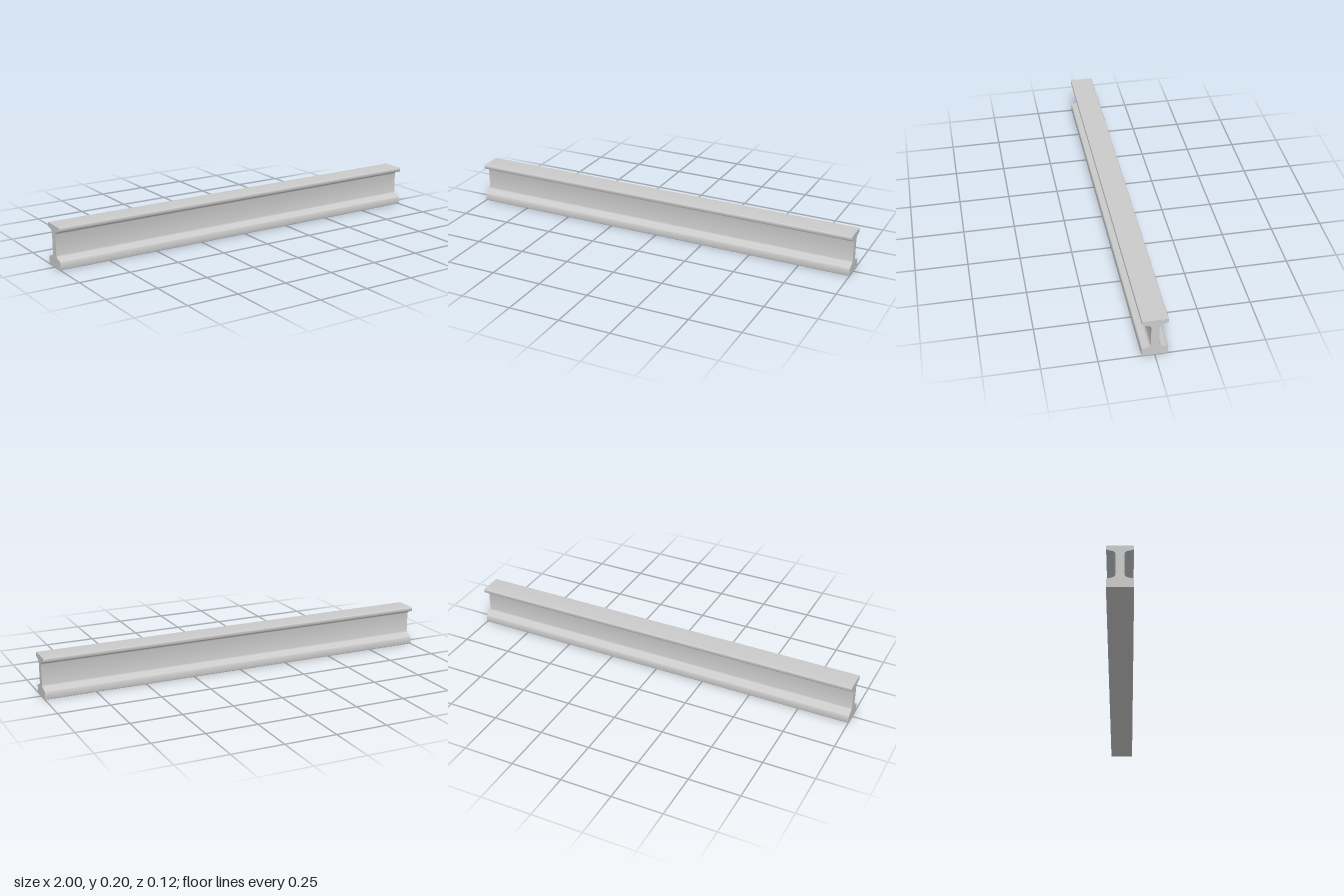
import * as THREE from 'three';
import { toCreasedNormals } from 'three/addons/utils/BufferGeometryUtils.js';

const LENGTH = 2;

// Half of the rail section, bottom to top: [half width, height, corner radius]
const CORNERS = [
  [0.059, 0.0, 0.005],   // foot bottom edge
  [0.059, 0.040, 0.006], // foot top edge
  [0.018, 0.050, 0.016], // fillet from foot to web
  [0.018, 0.170, 0.016], // fillet from web to head
  [0.059, 0.180, 0.006], // head lower edge
  [0.059, 0.2, 0.005],   // head top edge
];

// Closed outline with every corner rounded by a short curve
function roundedSection(corners) {
  const mirrored = corners.map(([x, y, r]) => [-x, y, r]).reverse();
  const all = [...corners, ...mirrored];
  const shape = new THREE.Shape();
  all.forEach(([x, y, r], i) => {
    const corner = new THREE.Vector2(x, y);
    const towards = ([nx, ny]) =>
      new THREE.Vector2(nx, ny).sub(corner).setLength(r).add(corner);
    const start = towards(all[(i + all.length - 1) % all.length]);
    const end = towards(all[(i + 1) % all.length]);
    if (i === 0) shape.moveTo(start.x, start.y);
    else shape.lineTo(start.x, start.y);
    shape.quadraticCurveTo(x, y, end.x, end.y);
  });
  shape.closePath();
  return shape;
}

export function createModel() {
  const group = new THREE.Group();
  group.name = 'beam';

  // Section swept along x
  const geometry = new THREE.ExtrudeGeometry(roundedSection(CORNERS), {
    depth: LENGTH,
    bevelEnabled: false,
    curveSegments: 6,
  });
  geometry.translate(0, 0, -LENGTH / 2);
  geometry.rotateY(Math.PI / 2);

  const beam = new THREE.Mesh(
    toCreasedNormals(geometry, 0.6),
    new THREE.MeshStandardMaterial({ color: 0xcccccc })
  );
  beam.name = 'flangedBeam';
  group.add(beam);
  return group;
}
